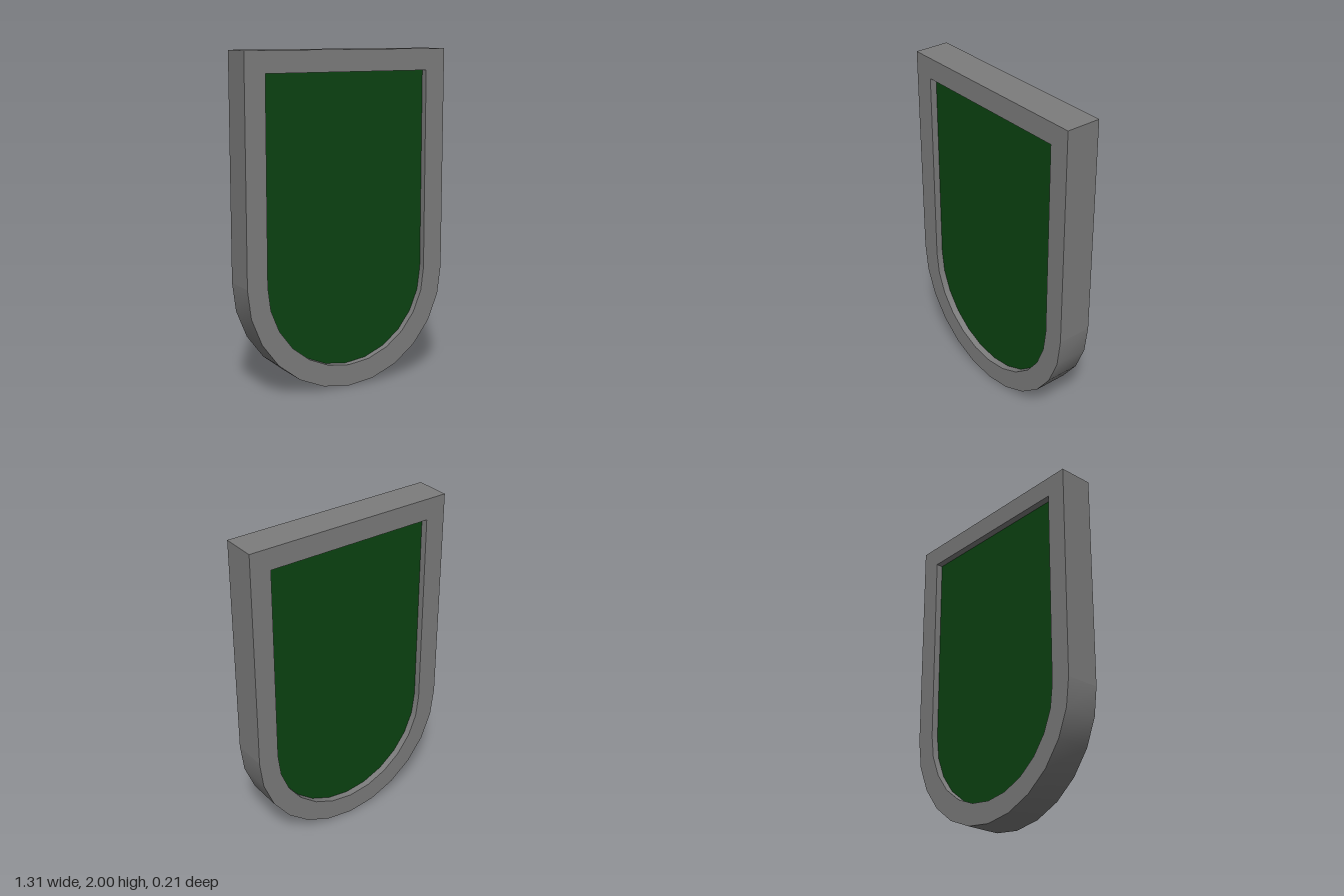
import * as THREE from 'three';
import { toCreasedNormals } from 'three/addons/utils/BufferGeometryUtils.js';

const ARC_Y = 0.667; // centre height of the rounded bottom

// Outline with a flat top, straight sides and a rounded bottom
function trace(path, halfWidth, top, bottom) {
  path.moveTo(halfWidth, top);
  path.lineTo(-halfWidth, top);
  path.lineTo(-halfWidth, ARC_Y);
  path.absellipse(0, ARC_Y, halfWidth, ARC_Y - bottom, Math.PI, Math.PI * 2, false);
  path.closePath();
  return path;
}

// Extrude a shape, centred on z = 0: smooth round the bottom, flat along the sides
function slab(name, shape, depth, color) {
  const extruded = new THREE.ExtrudeGeometry(shape, { depth, bevelEnabled: false, curveSegments: 6 });
  extruded.translate(0, 0, -depth / 2);
  const flat = extruded.attributes.normal.clone();
  const geometry = toCreasedNormals(extruded, 0.5);
  const { position, normal } = geometry.attributes;
  for (let i = 0; i < position.count; i += 3) {
    const lowest = Math.min(position.getY(i), position.getY(i + 1), position.getY(i + 2));
    if (lowest < ARC_Y - 1e-4) continue;
    for (let j = i; j < i + 3; j++) normal.setXYZ(j, flat.getX(j), flat.getY(j), flat.getZ(j));
  }
  const mesh = new THREE.Mesh(geometry, new THREE.MeshStandardMaterial({ color }));
  mesh.name = name;
  return mesh;
}

export function createModel() {
  const model = new THREE.Group();
  model.name = 'shieldPlaque';

  // Rim with the panel opening
  const rim = trace(new THREE.Shape(), 0.657, 2, 0);
  rim.holes.push(trace(new THREE.Path(), 0.53, 1.873, 0.13));
  model.add(slab('rim', rim, 0.213, 0x7c7c7c));

  // Panel, set back from both faces of the rim
  model.add(slab('panel', trace(new THREE.Shape(), 0.53, 1.873, 0.13), 0.13, 0x0b4311));

  return model;
}
